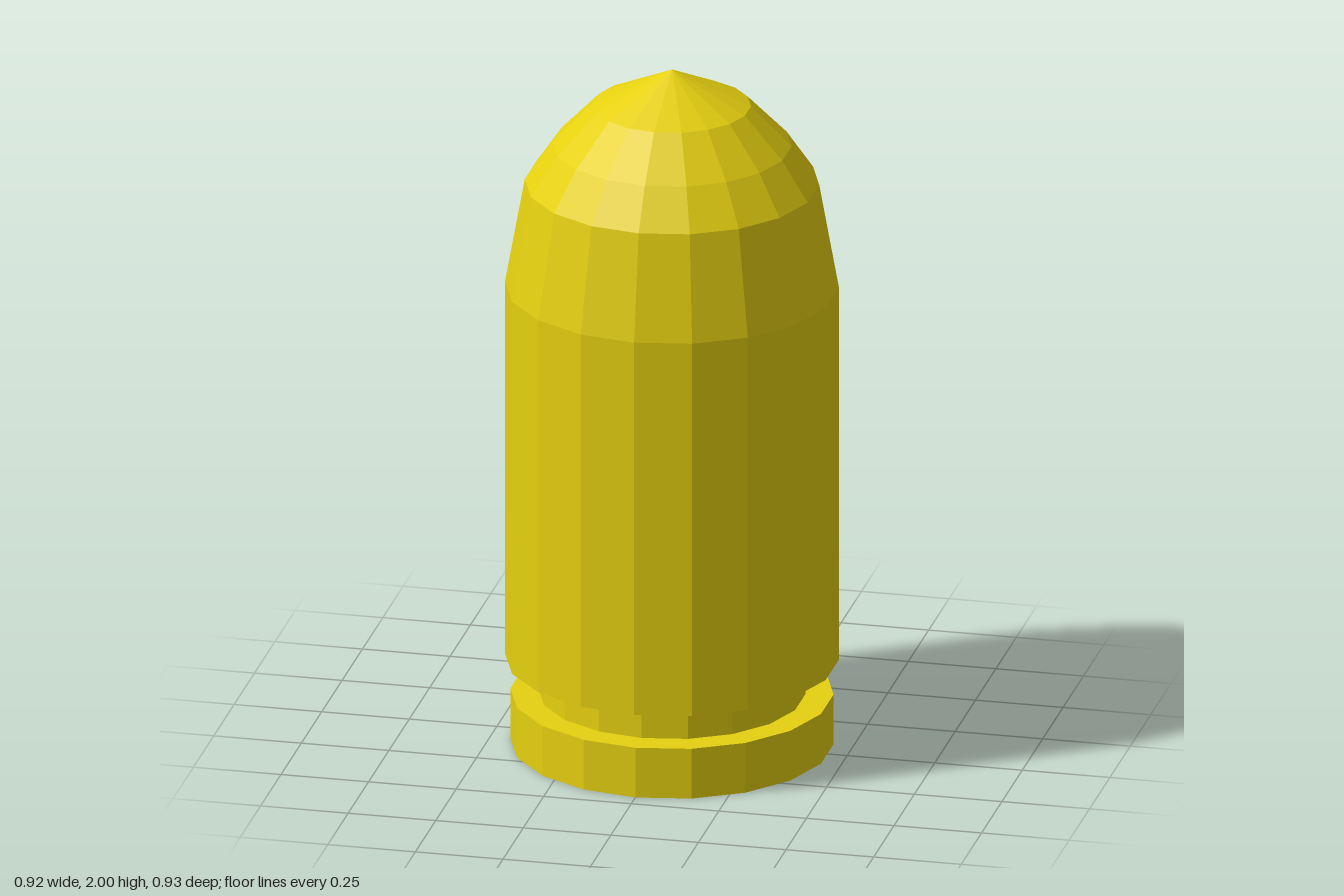
import * as THREE from 'three';

const SIDES = 18;

// Faceted solid of revolution from [radius, height] pairs, bottom to top
function turned(name, profile, material) {
  const points = profile.map(([r, y]) => new THREE.Vector2(r, y));
  const mesh = new THREE.Mesh(new THREE.LatheGeometry(points, SIDES), material);
  mesh.name = name;
  return mesh;
}

export function createModel() {
  const group = new THREE.Group();
  group.name = 'cartridge';
  const brass = new THREE.MeshStandardMaterial({ color: 0xe6d010, flatShading: true });

  // Base rim, closed underneath, with its upper ledge
  group.add(turned('rim', [[0, 0], [0.45, 0], [0.45, 0.148], [0.372, 0.148]], brass));

  // Recessed extractor groove
  group.add(turned('groove', [[0.372, 0.148], [0.372, 0.252]], brass));

  // Straight casing with its underside ledge
  group.add(turned('casing', [[0.372, 0.252], [0.465, 0.252], [0.465, 1.36]], brass));

  // Rounded nose with a pointed tip
  group.add(turned('nose', [[0.465, 1.36], [0.41, 1.665], [0.333, 1.778], [0.22, 1.895], [0, 2]], brass));

  return group;
}
